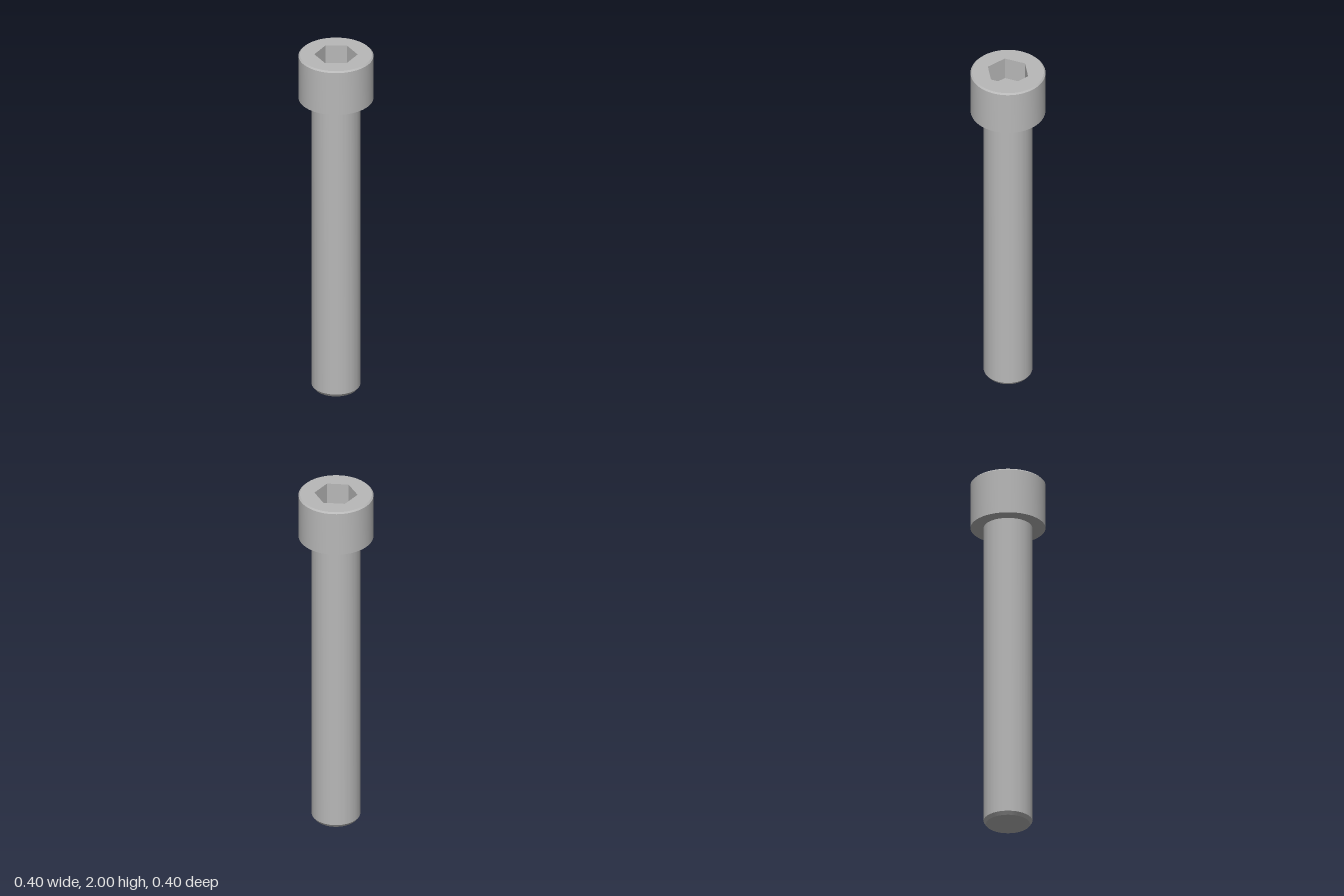
import * as THREE from 'three';
import { toCreasedNormals } from 'three/addons/utils/BufferGeometryUtils.js';

const SEGMENTS = 96;
const HEAD_R = 0.2, HEAD_BOTTOM = 1.74, TOP = 2, BEVEL = 0.008;
const SHAFT_R = 0.13, TIP_R = 0.117, TIP_H = 0.018;
const HEX_R = 0.1 / Math.cos(Math.PI / 6), SOCKET_DEPTH = 0.13;

export function createModel() {
  const group = new THREE.Group();
  group.name = 'socketHeadBolt';
  const steel = new THREE.MeshStandardMaterial({ color: 0xb8b8b8 });
  steel.name = 'steel grey';

  const add = (name, geometry) => {
    const mesh = new THREE.Mesh(toCreasedNormals(geometry, 0.5), steel);
    mesh.name = name;
    group.add(mesh);
  };
  const lathe = (points) =>
    new THREE.LatheGeometry(points.map(([r, y]) => new THREE.Vector2(r, y)), SEGMENTS);

  // Shaft with a chamfered, closed tip
  add('shaft', lathe([[0, 0], [TIP_R, 0], [SHAFT_R, TIP_H], [SHAFT_R, HEAD_BOTTOM]]));

  // Head: underside, side and bevelled rim
  const rimR = HEAD_R - BEVEL;
  add('head', lathe([[SHAFT_R, HEAD_BOTTOM], [HEAD_R, HEAD_BOTTOM], [HEAD_R, TOP - BEVEL], [rimR, TOP]]));

  // Flat top face with a hexagonal opening
  const face = new THREE.Shape().absarc(0, 0, rimR, 0, Math.PI * 2);
  const hex = [];
  for (let i = 0; i < 6; i++) {
    const a = -i * Math.PI / 3;
    hex.push(new THREE.Vector2(HEX_R * Math.cos(a), HEX_R * Math.sin(a)));
  }
  face.holes.push(new THREE.Path(hex));
  add('headTop', new THREE.ShapeGeometry(face, SEGMENTS).rotateX(-Math.PI / 2).translate(0, TOP, 0));

  // Socket walls, mirrored so that they face inward
  add('socketWalls', new THREE.CylinderGeometry(HEX_R, HEX_R, SOCKET_DEPTH, 6, 1, true, Math.PI / 2)
    .scale(-1, 1, 1).translate(0, TOP - SOCKET_DEPTH / 2, 0));

  // Socket floor
  add('socketFloor', new THREE.CircleGeometry(HEX_R, 6)
    .rotateX(-Math.PI / 2).translate(0, TOP - SOCKET_DEPTH, 0));

  return group;
}
